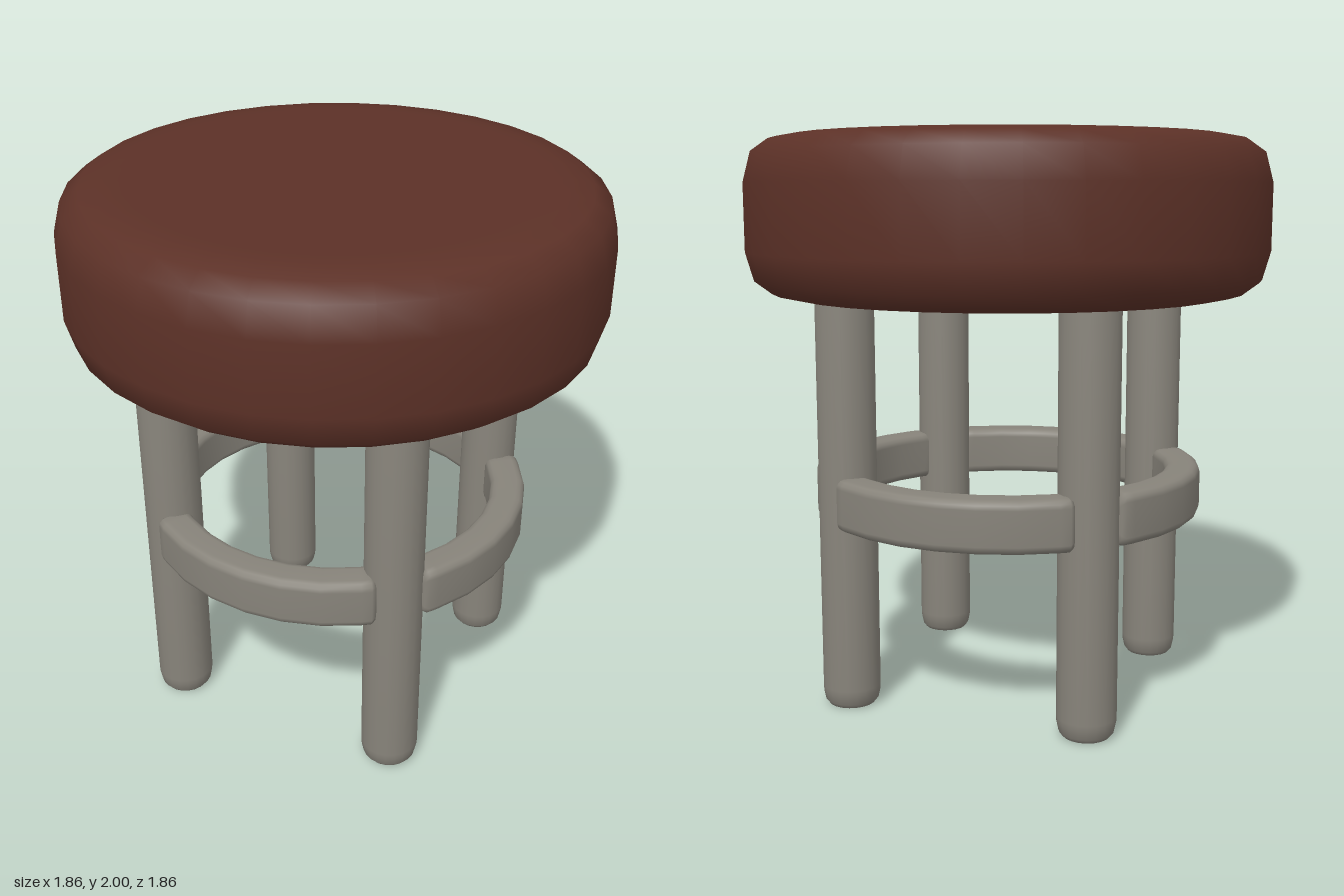
import * as THREE from 'three';

const v2 = (list) => list.map(([x, y]) => new THREE.Vector2(x, y));

// Rounded rectangle outline, counter-clockwise, in (radius, height) space
function roundedSection(w, h, corner) {
  const pts = [];
  [[1, 1], [-1, 1], [-1, -1], [1, -1]].forEach(([sx, sy], k) => {
    for (let i = 0; i <= 3; i++) {
      const a = (k + i / 3) * Math.PI / 2;
      pts.push([sx * (w / 2 - corner) + corner * Math.cos(a), sy * (h / 2 - corner) + corner * Math.sin(a)]);
    }
  });
  return pts;
}

// Curved bar swept around y, with eased ends; centred on +z
function footRailGeometry() {
  const midRadius = 0.638, midY = 0.747, width = 0.125, height = 0.18;
  const half = [[0, 0], [11.25, 0], [22.5, 0], [33.75, 0], [36.6, 0], [37.8, 0.008], [38.5, 0.03]];
  const stations = [...half.slice(1).reverse().map(([a, s]) => [-a, s]), ...half];
  const positions = [], index = [];
  const addRing = ([deg, inset]) => {
    const a = THREE.MathUtils.degToRad(deg), start = positions.length / 3;
    for (const [dr, dy] of roundedSection(width - 2 * inset, height - 2 * inset, 0.03)) {
      const r = midRadius + dr;
      positions.push(r * Math.sin(a), midY + dy, r * Math.cos(a));
    }
    return start;
  };
  const rings = stations.map(addRing), n = 16;
  for (let i = 0; i < rings.length - 1; i++) {
    for (let j = 0; j < n; j++) {
      const k = (j + 1) % n;
      const a = rings[i] + j, b = rings[i + 1] + j, c = rings[i + 1] + k, d = rings[i] + k;
      index.push(a, b, c, a, c, d);
    }
  }
  // Flat end caps
  const first = addRing(stations[0]), last = addRing(stations[stations.length - 1]);
  for (let j = 1; j < n - 1; j++) {
    index.push(first, first + j, first + j + 1, last, last + j + 1, last + j);
  }
  const geo = new THREE.BufferGeometry();
  geo.setAttribute('position', new THREE.Float32BufferAttribute(positions, 3));
  geo.setIndex(index);
  geo.computeVertexNormals();
  return geo;
}

export function createModel() {
  const model = new THREE.Group();
  model.name = 'stool';
  const leather = new THREE.MeshStandardMaterial({ name: 'brown leather', color: 0x5c3127 });
  const metal = new THREE.MeshStandardMaterial({ name: 'grey metal', color: 0x87837a });
  const add = (name, geo, mat) => {
    const mesh = new THREE.Mesh(geo, mat);
    mesh.name = name;
    model.add(mesh);
    return mesh;
  };

  // Thick round cushion
  add('seatCushion', new THREE.LatheGeometry(v2([
    [0, 1.435], [0.7, 1.435], [0.76, 1.438], [0.84, 1.455], [0.9, 1.5], [0.928, 1.6],
    [0.928, 1.835], [0.9, 1.94], [0.84, 1.983], [0.76, 1.998], [0.7, 2], [0, 2],
  ]), 32), leather);

  // Four legs with softened feet, and a curved rail between each pair
  const legGeo = new THREE.LatheGeometry(v2([
    [0, 0], [0.074, 0], [0.082, 0.003], [0.094, 0.018], [0.101, 0.05], [0.102, 0.07], [0.102, 1.47], [0, 1.47],
  ]), 20);
  const railGeo = footRailGeometry();
  const legNames = ['frontLeftLeg', 'backLeftLeg', 'backRightLeg', 'frontRightLeg'];
  const railNames = ['frontRail', 'leftRail', 'backRail', 'rightRail'];
  for (let i = 0; i < 4; i++) {
    const a = i * Math.PI / 2;
    add(legNames[i], legGeo, metal).position.set(
      0.437 * Math.SQRT2 * Math.sin(a + Math.PI / 4), 0, 0.437 * Math.SQRT2 * Math.cos(a + Math.PI / 4));
    add(railNames[i], railGeo, metal).rotation.y = a;
  }
  return model;
}
